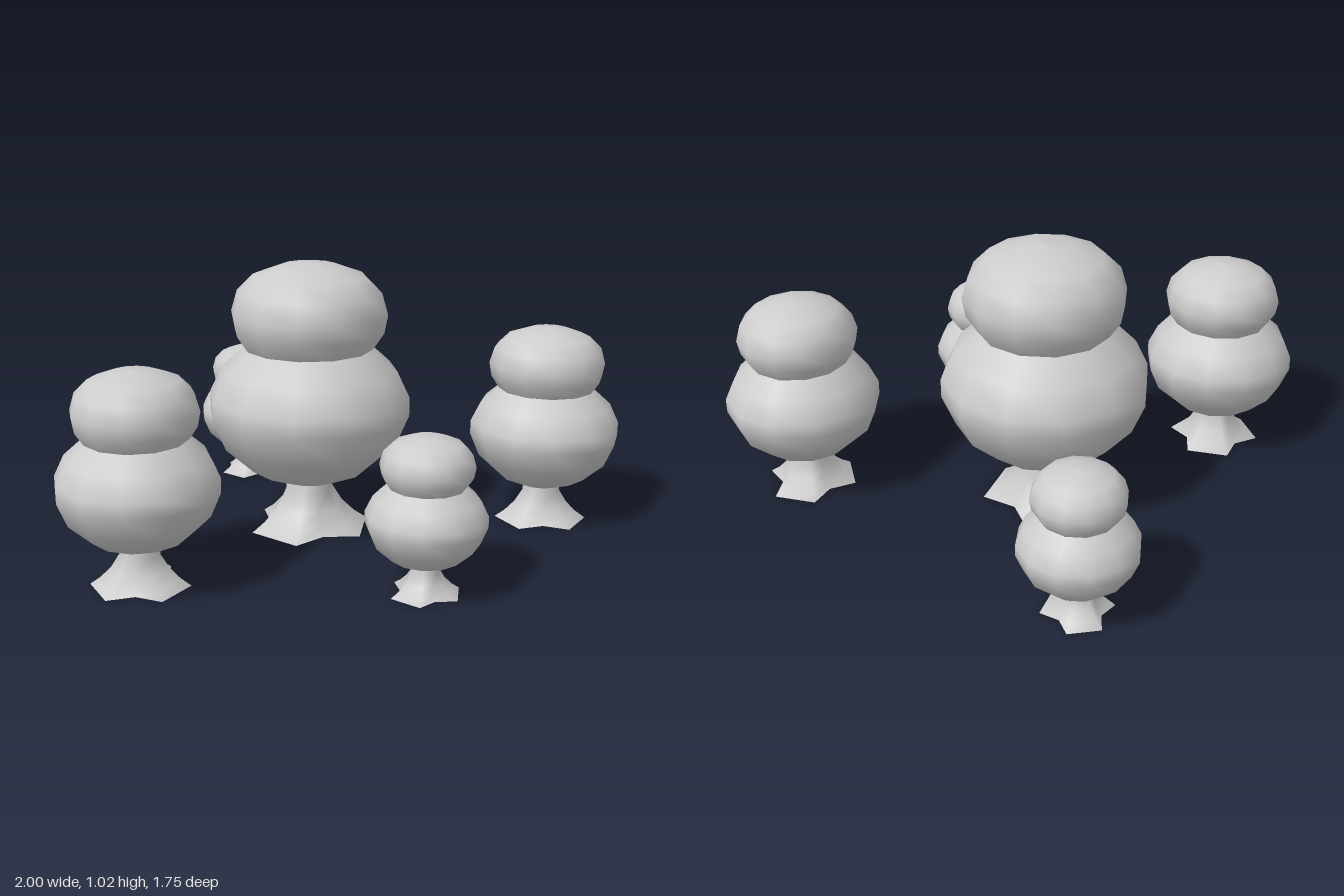
import * as THREE from 'three';

const material = new THREE.MeshStandardMaterial({ color: 0xcccccc });

// Twelve-sided rounded crown from [radius, height] points, bottom to top
function crown(profile) {
  return new THREE.LatheGeometry(profile.map(([r, y]) => new THREE.Vector2(r, y)), 12);
}

// Trunk flaring into three broad roots, with a notch between each pair
function trunk() {
  // [height, root radius, notch radius]
  const levels = [[0, 0.235, 0.15], [0.035, 0.185, 0.125], [0.085, 0.135, 0.105], [0.15, 0.095, 0.085], [0.26, 0.088, 0.08]];
  const n = 9, positions = [], index = [];
  const addRing = ([y, root, notch]) => {
    for (let i = 0; i < n; i++) {
      const offset = [0, 33, 87][i % 3];
      const a = THREE.MathUtils.degToRad(Math.floor(i / 3) * 120 + offset);
      const r = i % 3 === 0 ? notch : root;
      positions.push(Math.cos(a) * r, y, Math.sin(a) * r);
    }
  };
  levels.forEach(addRing);
  for (let k = 0; k < levels.length - 1; k++) {
    for (let i = 0; i < n; i++) {
      const a = k * n + i, b = k * n + (i + 1) % n;
      index.push(a, a + n, b, b, a + n, b + n);
    }
  }
  // Underside, with its own vertices so the rim stays sharp
  const base = positions.length / 3;
  addRing(levels[0]);
  positions.push(0, 0, 0);
  for (let i = 0; i < n; i++) index.push(base + n, base + i, base + (i + 1) % n);

  const geometry = new THREE.BufferGeometry();
  geometry.setAttribute('position', new THREE.Float32BufferAttribute(positions, 3));
  geometry.setIndex(index);
  geometry.computeVertexNormals();
  return geometry;
}

export function createModel() {
  const parts = {
    trunk: trunk(),
    lowerCrown: crown([[0, 0.178], [0.1, 0.187], [0.22, 0.235], [0.33, 0.335], [0.378, 0.45],
      [0.378, 0.52], [0.33, 0.62], [0.24, 0.7]]),
    upperCrown: crown([[0.24, 0.7], [0.28, 0.76], [0.293, 0.83], [0.27, 0.91], [0.21, 0.97],
      [0.1, 1.01], [0, 1.018]]),
  };

  // name, x, z, scale, turn
  const trees = [
    ['largeTree', 0.085, -0.065, 1, 0],
    ['mediumTreeRight', -0.72, -0.16, 0.745, -0.42],
    ['mediumTreeLeft', 0.715, 0.59, 0.745, -0.42],
    ['smallTreeBack', 0.445, -0.675, 0.545, 0],
    ['smallTreeFront', -0.175, 0.64, 0.545, 0],
  ];

  const model = new THREE.Group();
  model.name = 'grove';
  for (const [name, x, z, scale, turn] of trees) {
    const tree = new THREE.Group();
    tree.name = name;
    for (const [part, geometry] of Object.entries(parts)) {
      const mesh = new THREE.Mesh(geometry, material);
      mesh.name = part;
      tree.add(mesh);
    }
    tree.position.set(x, 0, z);
    tree.scale.setScalar(scale);
    tree.rotation.y = turn;
    model.add(tree);
  }
  return model;
}
